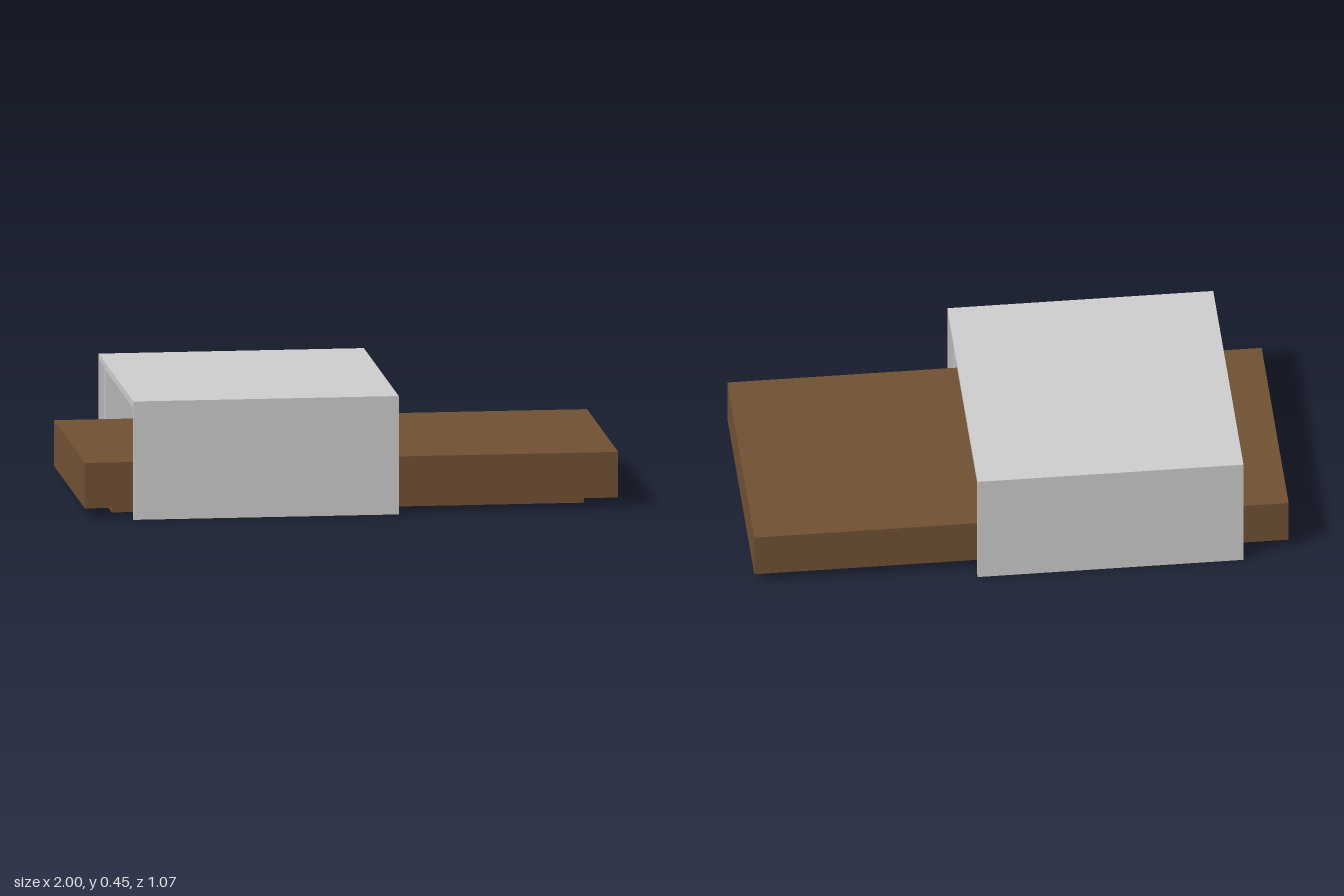
import * as THREE from 'three';

const wood = new THREE.MeshStandardMaterial({ color: 0x6f5033 });
const grey = new THREE.MeshStandardMaterial({ color: 0xcccccc });

function block(name, width, depth, bottom, top) {
  const mesh = new THREE.Mesh(new THREE.BoxGeometry(width, top - bottom, depth), wood);
  mesh.name = name;
  mesh.position.y = (bottom + top) / 2;
  return mesh;
}

// Upside-down U section, open at the floor, extruded along x from x0 to x1
function arch(name, halfOuter, topOuter, halfInner, topInner, x0, x1) {
  const shape = new THREE.Shape([
    [-halfOuter, 0], [-halfInner, 0], [-halfInner, topInner], [halfInner, topInner],
    [halfInner, 0], [halfOuter, 0], [halfOuter, topOuter], [-halfOuter, topOuter],
  ].map(([u, v]) => new THREE.Vector2(u, v)));
  const geometry = new THREE.ExtrudeGeometry(shape, { depth: x1 - x0, bevelEnabled: false });
  geometry.rotateY(Math.PI / 2);
  geometry.translate(x0, 0, 0);
  const mesh = new THREE.Mesh(geometry, grey);
  mesh.name = name;
  return mesh;
}

export function createModel() {
  const model = new THREE.Group();
  model.name = 'slidingCoverTable';

  // Wooden slab on a recessed plinth
  model.add(block('plinth', 1.77, 0.72, 0, 0.037));
  model.add(block('slab', 2, 0.952, 0.037, 0.209));

  // Thin bridge-shaped cover straddling the slab
  const left = -0.825, right = 0.17;
  const cover = new THREE.Group();
  cover.name = 'cover';
  cover.add(arch('coverShell', 0.533, 0.447, 0.513, 0.427, left, right));

  // Stiffening frames just inside both open ends
  const inset = 0.02, width = 0.045;
  for (const x of [left + inset, right - inset - width]) {
    cover.add(arch('coverFrame', 0.513, 0.427, 0.479, 0.393, x, x + width));
  }
  model.add(cover);
  return model;
}
